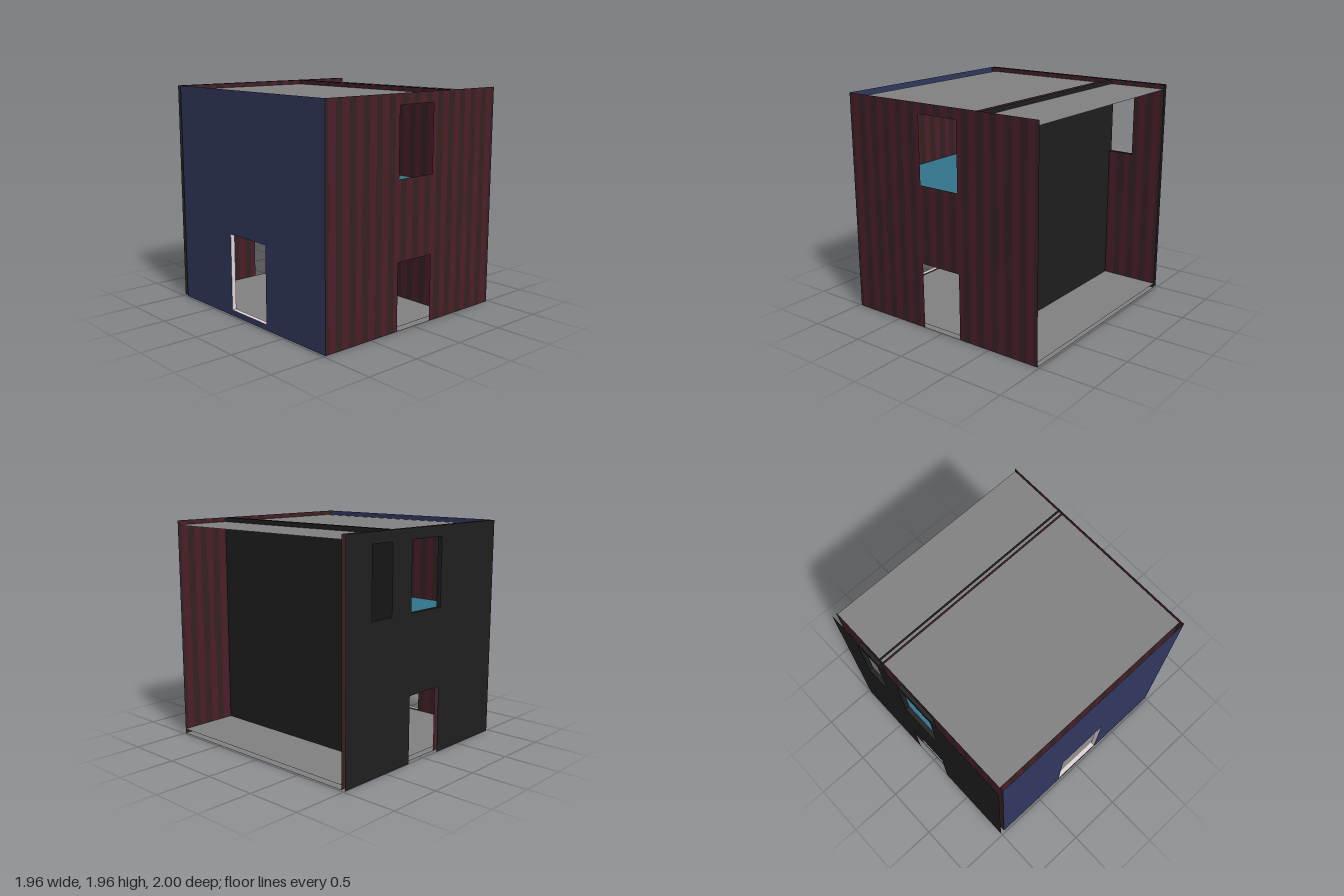
import * as THREE from 'three';

const mat = (name, color) => {
  const m = new THREE.MeshStandardMaterial({ color, side: THREE.DoubleSide });
  m.name = name;
  return m;
};

export function createModel() {
  const group = new THREE.Group();
  const red = mat('dark red stripe', 0x4c1e2a);
  const brown = mat('dark brown stripe', 0x352121);
  const black = mat('charcoal', 0x1f1f1f);
  const blue = mat('navy', 0x31385f);
  const grey = mat('grey', 0x818181);
  const teal = mat('teal floor', 0x32738b);
  const pale = mat('pale pink trim', 0xe0d3d9);

  const W = 1.96, H = 1.96, PITCH = 0.07;

  // Gently wavering edge of stripe number k at height v
  const edge = (k, v) => {
    const base = -W / 2 + 0.035 + PITCH * (k - 1);
    const grain = 0.003 * Math.sin(v * 5 + k * 2.3);
    const knot = (k % 18 === 5 || k % 18 === 6) ? (k % 2 ? 1 : -1) * 0.012 * Math.exp(-(((v - 1) / 0.25) ** 2)) : 0;
    return base + grain + knot;
  };

  // Upright sheet with rectangular holes [u0, u1, v0, v1], striped or plain
  function sheet(name, holes, plain, height = H) {
    const rows = new Set([0, height]);
    if (!plain) for (let v = 0.07; v < height; v += 0.07) rows.add(v);
    holes.forEach(h => { rows.add(h[2]); rows.add(h[3]); });
    const vs = [...rows].sort((a, b) => a - b);
    const bands = plain ? 1 : 29;
    const bound = (k, v) => (k <= 0 ? -W / 2 : k >= bands ? W / 2 : edge(k, v));
    const pos = [[], []];
    for (let r = 0; r + 1 < vs.length; r++) {
      const v0 = vs[r], v1 = vs[r + 1], mid = (v0 + v1) / 2;
      const cuts = holes.filter(h => mid > h[2] && mid < h[3]).sort((a, b) => a[0] - b[0]);
      const ends = [-W / 2, ...cuts.flatMap(h => [h[0], h[1]]), W / 2];
      for (let s = 0; s < ends.length; s += 2) {
        const clip = u => THREE.MathUtils.clamp(u, ends[s], ends[s + 1]);
        for (let k = 0; k < bands; k++) {
          const a = clip(bound(k, v0)), b = clip(bound(k + 1, v0));
          const c = clip(bound(k + 1, v1)), d = clip(bound(k, v1));
          if (b - a < 1e-5 && c - d < 1e-5) continue;
          pos[k % 2].push(a, v0, 0, b, v0, 0, c, v1, 0, a, v0, 0, c, v1, 0, d, v1, 0);
        }
      }
    }
    const g = new THREE.BufferGeometry();
    const all = [...pos[0], ...pos[1]];
    g.setAttribute('position', new THREE.Float32BufferAttribute(all, 3));
    g.setAttribute('normal', new THREE.Float32BufferAttribute(all.map((_, i) => (i % 3 === 2 ? 1 : 0)), 3));
    g.addGroup(0, pos[0].length / 3, 0);
    g.addGroup(pos[0].length / 3, pos[1].length / 3, 1);
    const mesh = new THREE.Mesh(g, plain ? [plain, plain] : [brown, red]);
    mesh.name = name;
    group.add(mesh);
    return mesh;
  }

  // Turn a sheet to run along z at a given x
  const alongZ = (mesh, x) => {
    mesh.rotation.y = Math.PI / 2;
    mesh.position.set(x, 0, 0.02);
  };

  // Horizontal panel running the full depth of the rooms
  const Z0 = -0.96, Z1 = 1;
  function panel(name, x0, x1, y, m) {
    const mesh = new THREE.Mesh(new THREE.PlaneGeometry(x1 - x0, Z1 - Z0), m);
    mesh.rotation.x = -Math.PI / 2;
    mesh.position.set((x0 + x1) / 2, y, (Z0 + Z1) / 2);
    mesh.name = name;
    group.add(mesh);
  }

  // Four-sided lining of an opening, extruded along local z
  function lining(name, [u0, u1, v0, v1], depth, m) {
    const frame = new THREE.Group();
    frame.name = name;
    for (const v of [v0, v1]) {
      const p = new THREE.Mesh(new THREE.PlaneGeometry(u1 - u0, depth), m);
      p.rotation.x = -Math.PI / 2;
      p.position.set((u0 + u1) / 2, v, 0);
      frame.add(p);
    }
    for (const u of [u0, u1]) {
      const p = new THREE.Mesh(new THREE.PlaneGeometry(depth, v1 - v0), m);
      p.rotation.y = Math.PI / 2;
      p.position.set(u, (v0 + v1) / 2, 0);
      frame.add(p);
    }
    group.add(frame);
    return frame;
  }

  const door = [-0.197, 0.197, 0, 0.588];
  const midWindow = [-0.197, 0.197, 1.276, 1.867];
  const sideWindow = [0.44, 0.683, 1.276, 1.867];
  const sideDoor = [-0.24, 0.25, 0.05, 0.73];

  // Single-skin front wall and hollow back wall
  sheet('frontWall', [door, midWindow]).position.z = 1;
  sheet('backWallInner', [door, midWindow, sideWindow]).position.z = -0.96;
  sheet('backWallOuter', [door, midWindow, sideWindow], black).position.z = -1;

  // Side wall with doorway, and the partition
  alongZ(sheet('sideWallOuter', [sideDoor], blue), -0.98);
  alongZ(sheet('sideWallInner', [sideDoor], null, 1.92), -0.94);
  alongZ(sheet('partitionStripedFace', []), 0.4);
  alongZ(sheet('partitionDarkFace', [], black), 0.44);

  // Linings of the back windows and the side doorway
  lining('backWindowFrame', midWindow, 0.04, black).position.z = -0.98;
  lining('smallBackWindowFrame', sideWindow, 0.04, black).position.z = -0.98;
  alongZ(lining('sideDoorFrame', sideDoor, 0.04, pale), -0.96);

  // Ground floor slab, upper floor and roof
  panel('floorTop', -0.98, 0.98, 0.04, grey);
  panel('floorUnderside', -0.98, 0.98, 0, grey);
  panel('upperFloor', -0.94, 0.4, 1.17, teal);
  panel('lowerCeiling', -0.94, 0.4, 1.13, grey);
  panel('roof', -0.94, 0.98, 1.92, grey);

  return group;
}
